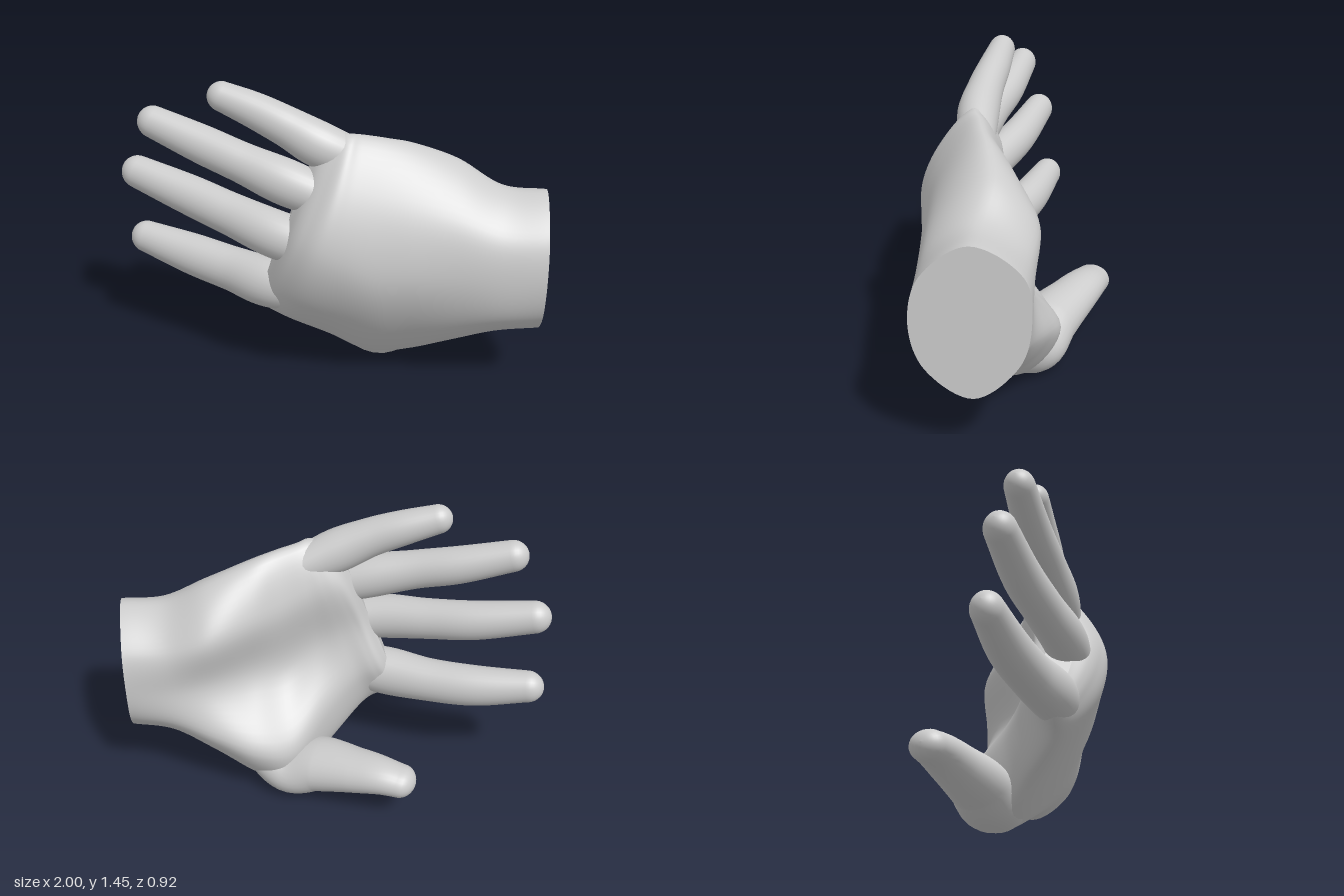
import * as THREE from 'three';

const material = new THREE.MeshStandardMaterial({ color: 0xcccccc, roughness: 0.8 });
const V = (x, y, z) => new THREE.Vector3(x, y, z);

// Smooth skin over a list of closed rings, with a flat fan on each end if asked
function loft(rings, capStart, capEnd) {
  const n = rings[0].length, pos = [], idx = [];
  const push = p => pos.push(p.x, p.y, p.z) / 3 - 1;
  rings.forEach(r => r.forEach(push));
  for (let i = 0; i < rings.length - 1; i++) {
    for (let j = 0; j < n; j++) {
      const a = i * n + j, b = i * n + (j + 1) % n;
      idx.push(a, b, a + n, b, b + n, a + n);
    }
  }
  const cap = (ring, flip) => {
    const c = push(ring.reduce((s, p) => s.add(p), V(0, 0, 0)).divideScalar(n));
    const first = pos.length / 3;
    ring.forEach(push);
    for (let j = 0; j < n; j++) {
      const a = first + j, b = first + (j + 1) % n;
      flip ? idx.push(c, b, a) : idx.push(c, a, b);
    }
  };
  if (capStart) cap(rings[0], true);
  if (capEnd) cap(rings[rings.length - 1], false);
  const geo = new THREE.BufferGeometry();
  geo.setAttribute('position', new THREE.Float32BufferAttribute(pos, 3));
  geo.setIndex(idx);
  geo.computeVertexNormals();
  return geo;
}

// Tapering digit through [x, y, z, radius] nodes, with a rounded tip
function digit(nodes, depth) {
  const path = new THREE.CatmullRomCurve3(nodes.map(n => V(n[0], n[1], n[2])), false, 'catmullrom');
  const radii = new THREE.CatmullRomCurve3(nodes.map(n => V(n[3], 0, 0)), false, 'catmullrom');
  const rings = [], sides = 28, steps = 40, tipSteps = 9;
  const addRing = (centre, t, r) => {
    const s = V(0, 0, 1).addScaledVector(t, -t.z).normalize();
    const u = t.clone().cross(s);
    rings.push(Array.from({ length: sides }, (_, j) => {
      const a = j / sides * Math.PI * 2;
      return centre.clone().addScaledVector(s, Math.cos(a) * r * depth).addScaledVector(u, Math.sin(a) * r);
    }));
  };
  for (let i = 0; i <= steps; i++) {
    const k = i / steps;
    addRing(path.getPoint(k), path.getTangent(k), radii.getPoint(k).x);
  }
  const end = path.getPoint(1), t = path.getTangent(1), r = radii.getPoint(1).x;
  for (let i = 1; i <= tipSteps; i++) {
    const a = i / tipSteps * Math.PI / 2;
    addRing(end.clone().addScaledVector(t, Math.sin(a) * r), t, Math.max(Math.cos(a), 0.001) * r);
  }
  return loft(rings, true, false);
}

// Palm sections from wrist to finger webs:
// [x, low edge y, z, high edge y, z, back z at 20/50/80 %, palm z at 80/50/22 %, slant]
const sections = [
  [1.00, 0.30, 0.14, 0.99, 0.15, 0.34, 0.40, 0.35, -0.07, -0.10, -0.05, 0],
  [0.80, 0.27, 0.13, 1.00, 0.13, 0.34, 0.40, 0.35, -0.09, -0.10, -0.09, 0],
  [0.60, 0.17, 0.06, 1.11, 0.09, 0.30, 0.40, 0.34, -0.12, -0.08, -0.17, 0],
  [0.40, 0.06, -0.03, 1.19, 0.11, 0.25, 0.41, 0.34, -0.05, 0.0, -0.22, 0],
  [0.25, 0.02, -0.06, 1.225, 0.14, 0.24, 0.42, 0.35, 0.02, 0.06, -0.18, 0.05],
  [0.11, 0.18, 0.06, 1.245, 0.16, 0.31, 0.44, 0.355, 0.05, 0.09, -0.03, 0.15],
  [0.00, 0.31, 0.17, 1.255, 0.18, 0.36, 0.45, 0.355, 0.06, 0.09, 0.05, 0.3],
  [-0.08, 0.36, 0.17, 1.255, 0.18, 0.325, 0.41, 0.32, 0.07, 0.09, 0.055, 0.38],
  [-0.13, 0.385, 0.16, 1.23, 0.18, 0.285, 0.36, 0.285, 0.09, 0.10, 0.065, 0.38],
  [-0.165, 0.42, 0.16, 1.18, 0.18, 0.23, 0.28, 0.235, 0.14, 0.16, 0.11, 0.38],
];

function palmGeometry() {
  const outlines = sections.map(([x, y0, z0, y1, z1, b1, b2, b3, p3, p2, p1, slant]) =>
    [[0, z0], [0.2, b1], [0.5, b2], [0.8, b3], [1, z1], [0.8, p3], [0.5, p2], [0.22, p1]].map(([f, z]) => {
      const y = y0 + (y1 - y0) * f;
      return V(x + slant * (y - 0.85), y, z);
    }));
  const rails = outlines[0].map((_, k) => new THREE.CatmullRomCurve3(outlines.map(o => o[k]), false, 'catmullrom'));
  const rings = [], steps = 72, sides = 72;
  for (let i = 0; i <= steps; i++) {
    const outline = new THREE.CatmullRomCurve3(rails.map(r => r.getPoint(i / steps)), true);
    rings.push(outline.getPoints(sides).slice(0, sides));
  }
  return loft(rings, true, true);
}

// Finger nodes run from inside the palm to the tip
const fingers = {
  littleFinger: [[0.24, 1.09, 0.16, 0.075], [0.0, 1.185, 0.175, 0.105], [-0.17, 1.268, 0.15, 0.093],
    [-0.32, 1.33, 0.115, 0.083], [-0.47, 1.382, 0.085, 0.069]],
  ringFinger: [[0.1, 0.94, 0.26, 0.085], [-0.16, 1.02, 0.21, 0.108], [-0.38, 1.087, 0.14, 0.095],
    [-0.58, 1.145, 0.065, 0.091], [-0.81, 1.22, -0.005, 0.076]],
  middleFinger: [[0.05, 0.72, 0.29, 0.1], [-0.21, 0.773, 0.235, 0.113], [-0.45, 0.82, 0.115, 0.102],
    [-0.66, 0.865, 0.01, 0.097], [-0.92, 0.932, -0.09, 0.08]],
  indexFinger: [[0.03, 0.52, 0.25, 0.085], [-0.24, 0.49, 0.17, 0.122], [-0.46, 0.498, 0.05, 0.11],
    [-0.67, 0.52, -0.05, 0.103], [-0.91, 0.563, -0.14, 0.08]],
};
const thumb = [[0.5, 0.32, 0.03, 0.06], [0.28, 0.13, -0.07, 0.12], [0.1, 0.177, -0.155, 0.122],
  [-0.06, 0.217, -0.265, 0.1], [-0.17, 0.237, -0.335, 0.086], [-0.265, 0.23, -0.38, 0.075]];

export function createModel() {
  const hand = new THREE.Group();
  hand.name = 'hand';
  const add = (name, geometry) => {
    const mesh = new THREE.Mesh(geometry, material);
    mesh.name = name;
    hand.add(mesh);
  };
  add('palmAndWrist', palmGeometry());
  for (const [name, nodes] of Object.entries(fingers)) add(name, digit(nodes, 0.92));
  add('thumb', digit(thumb, 1.22));
  return hand;
}
